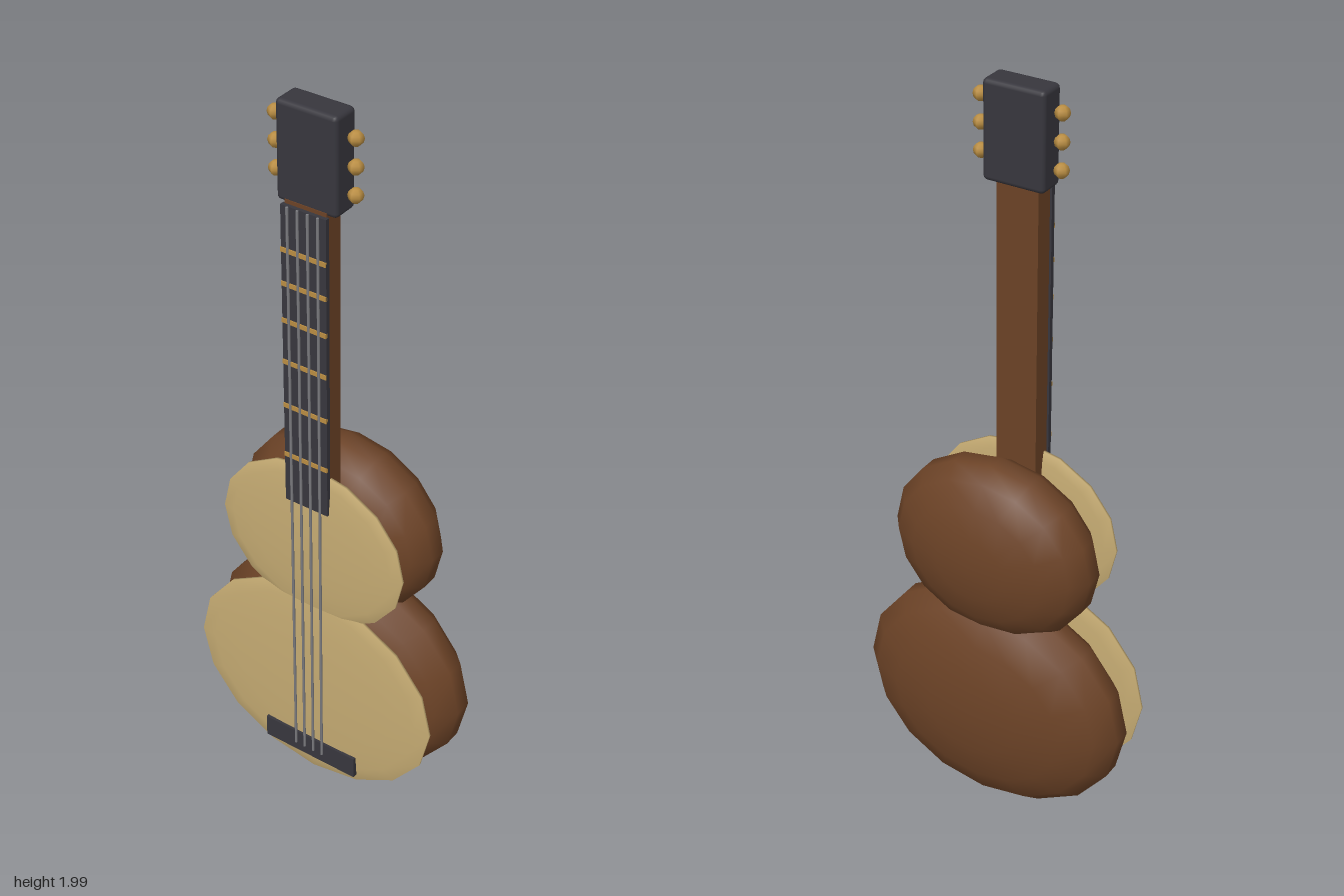
import * as THREE from 'three';
import { RoundedBoxGeometry } from 'three/addons/geometries/RoundedBoxGeometry.js';

const material = (name, color) => {
  const m = new THREE.MeshStandardMaterial({ color });
  m.name = name;
  return m;
};

export function createModel() {
  const brown = material('brown wood', 0x6b4226);
  const tan = material('pale wood', 0xc4aa72);
  const dark = material('dark wood', 0x37363d);
  const gold = material('gold', 0xb98d42);
  const steel = material('steel', 0x7c7c80);

  const model = new THREE.Group();
  model.name = 'guitar';

  const add = (name, geometry, mat, x, y, z) => {
    const mesh = new THREE.Mesh(geometry, mat);
    mesh.name = name;
    mesh.position.set(x, y, z);
    model.add(mesh);
    return mesh;
  };

  // Ellipsoid with its poles facing front and back
  const bout = (name, mat, y, z, rx, ry, rz) =>
    add(name, new THREE.SphereGeometry(1, 16, 9).rotateX(Math.PI / 2).scale(rx, ry, rz), mat, 0, y, z);

  // Box given by its limits in y and z, centred on x
  const slab = (name, mat, width, y0, y1, z0, z1) =>
    add(name, new THREE.BoxGeometry(width, y1 - y0, z1 - z0), mat, 0, (y0 + y1) / 2, (z0 + z1) / 2);

  // Body and soundboard
  bout('lowerBody', brown, 0.33, -0.012, 0.384, 0.326, 0.141);
  bout('upperBody', brown, 0.795, -0.012, 0.289, 0.251, 0.136);
  bout('lowerSoundboard', tan, 0.33, 0.122, 0.369, 0.314, 0.019);
  bout('upperSoundboard', tan, 0.795, 0.122, 0.276, 0.239, 0.019);

  // Neck, fingerboard and bridge
  slab('neck', brown, 0.114, 0.9, 1.76, 0.08, 0.134);
  slab('fingerboard', dark, 0.125, 0.92, 1.75, 0.132, 0.144);
  slab('bridge', dark, 0.286, 0.07, 0.135, 0.122, 0.143);

  // Frets
  for (const y of [1.06, 1.205, 1.33, 1.445, 1.545, 1.635]) {
    slab('fret', gold, 0.125, y - 0.006, y + 0.006, 0.14, 0.147);
  }

  // Strings
  for (const x of [-0.042, -0.014, 0.014, 0.042]) {
    add('string', new THREE.CylinderGeometry(0.0035, 0.0035, 1.65, 6), steel, x, 0.925, 0.147);
  }

  // Headstock and tuning pegs
  add('headstock', new RoundedBoxGeometry(0.166, 0.25, 0.075, 2, 0.012), dark, 0, 1.875, 0.095);
  for (const side of [-1, 1]) {
    for (const y of [1.805, 1.875, 1.945]) {
      add('tuningPeg', new THREE.SphereGeometry(0.019, 6, 6).rotateY(Math.PI / 6), gold, side * 0.108, y, 0.095);
    }
  }

  return model;
}
